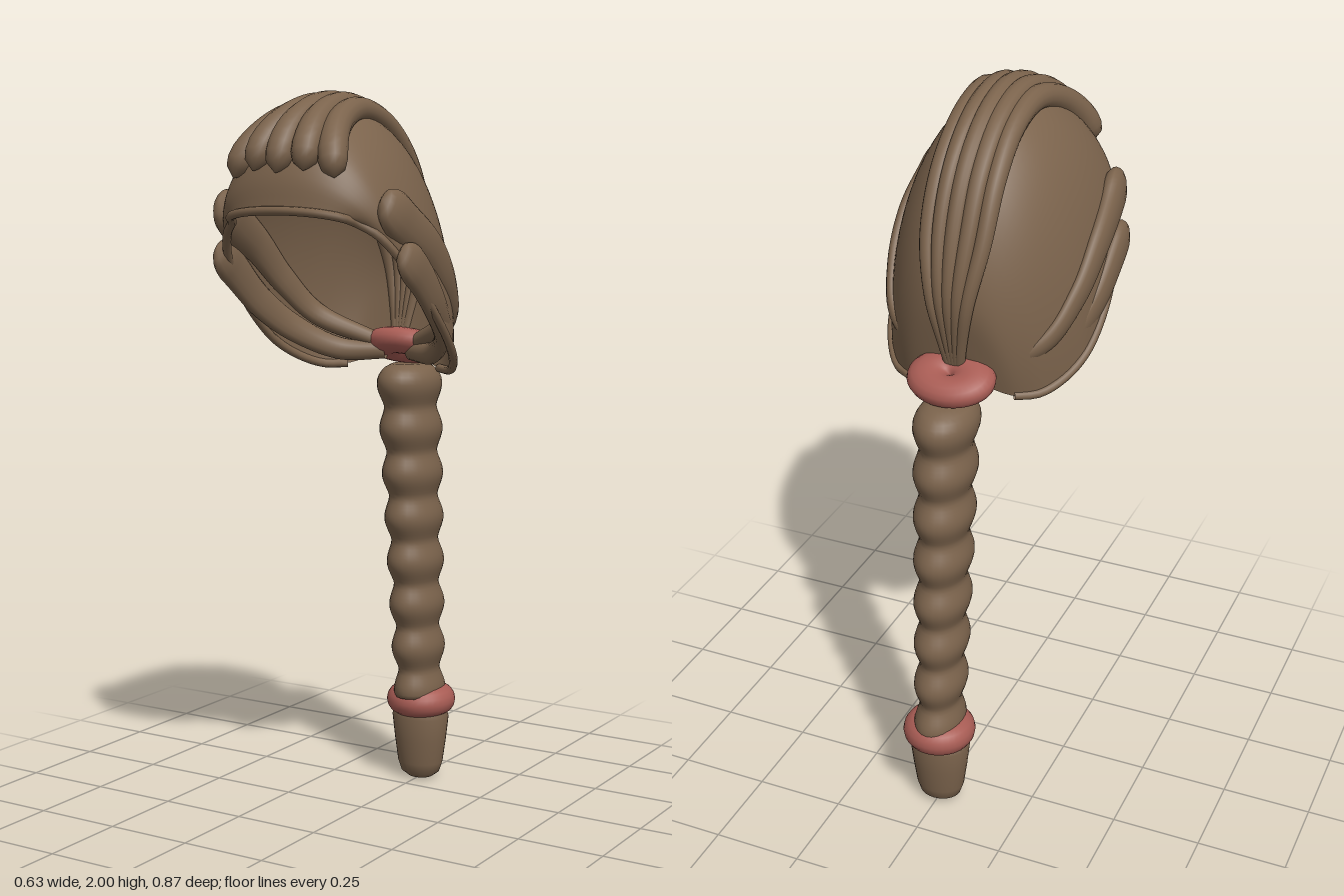
import * as THREE from 'three';
import { mergeVertices } from 'three/addons/utils/BufferGeometryUtils.js';

const V = (x, y, z) => new THREE.Vector3(x, y, z);

// Cap cross-sections from front rim to gathered back:
// half width, top y, top z, bottom y, bottom z
const SECTIONS = [
  [0.19, 1.69, 0.42, 1.66, 0.335],
  [0.232, 1.78, 0.405, 1.63, 0.30],
  [0.268, 1.87, 0.355, 1.57, 0.25],
  [0.29, 1.93, 0.27, 1.48, 0.17],
  [0.295, 1.96, 0.14, 1.39, 0.08],
  [0.282, 1.93, 0.00, 1.32, 0.00],
  [0.25, 1.84, -0.12, 1.275, -0.07],
  [0.205, 1.70, -0.20, 1.25, -0.13],
  [0.15, 1.54, -0.238, 1.25, -0.17],
  [0.09, 1.40, -0.22, 1.27, -0.19],
  [0.04, 1.31, -0.20, 1.29, -0.20],
];
const LAST = SECTIONS.length - 1;
const topCurve = new THREE.CatmullRomCurve3(SECTIONS.map((s) => V(s[0], s[1], s[2])));
const lowCurve = new THREE.CatmullRomCurve3(SECTIONS.map((s) => V(0, s[3], s[4])));

// Point on the cap: u runs front to back, a is the angle across the arch
function capPoint(u, a) {
  const t = topCurve.getPoint(u / LAST);
  const b = lowCurve.getPoint(u / LAST);
  const c = Math.cos(a);
  return V(t.x * Math.sin(a), b.y + (t.y - b.y) * c, b.z + (t.z - b.z) * c);
}

// Point raised off the cap at a given x
function raisedPoint(u, x, lift) {
  const w = topCurve.getPoint(u / LAST).x;
  const a = Math.asin(THREE.MathUtils.clamp(x / w, -1, 1));
  const e = 0.02;
  const du = capPoint(Math.min(u + e, LAST), a).sub(capPoint(u - e, a));
  const da = capPoint(u, a + e).sub(capPoint(u, a - e));
  return capPoint(u, a).addScaledVector(da.cross(du).normalize(), lift);
}

function smooth(geo) {
  geo.deleteAttribute('normal');
  geo.deleteAttribute('uv');
  const merged = mergeVertices(geo, 1e-5);
  merged.computeVertexNormals();
  return merged;
}

function capGeometry() {
  const nu = 48, na = 40, pos = [], idx = [];
  for (let i = 0; i <= nu; i++) {
    for (let j = 0; j <= na; j++) {
      pos.push(...capPoint((i / nu) * LAST, (j / na - 0.5) * Math.PI).toArray());
      if (i < nu && j < na) {
        const p = i * (na + 1) + j, q = p + na + 1;
        idx.push(p, p + 1, q, p + 1, q + 1, q);
      }
    }
  }
  const geo = new THREE.BufferGeometry();
  geo.setAttribute('position', new THREE.Float32BufferAttribute(pos, 3));
  geo.setIndex(idx);
  geo.computeVertexNormals();
  return geo;
}

// Lock of hair: a tube with its own radius along the way, flattened in x
function strandGeometry(points, radius, flatX = 1) {
  const n = 48, sides = 14;
  const curve = new THREE.CatmullRomCurve3(points);
  const geo = new THREE.TubeGeometry(curve, n, 1, sides, false);
  const p = geo.attributes.position, v = V(0, 0, 0);
  for (let i = 0; i <= n; i++) {
    const c = curve.getPointAt(i / n), r = radius(i / n);
    for (let j = 0; j <= sides; j++) {
      const k = i * (sides + 1) + j;
      v.fromBufferAttribute(p, k).sub(c).multiplyScalar(r);
      p.setXYZ(k, c.x + v.x * flatX, c.y + v.y, c.z + v.z);
    }
  }
  return smooth(geo);
}

// Round at the start, tapering to the end
const taper = (r0, r1, tip) => (t) => {
  const k = Math.min(1, t / tip);
  return (r0 + (r1 - r0) * t) * Math.sqrt(1 - (1 - k) * (1 - k));
};

export function createModel() {
  const model = new THREE.Group();
  const hair = new THREE.MeshStandardMaterial({ color: 0x7b634c, side: THREE.DoubleSide });
  hair.name = 'brown hair';
  const band = new THREE.MeshStandardMaterial({ color: 0xa85c54 });
  band.name = 'red band';
  const add = (name, geo, mat) => {
    const mesh = new THREE.Mesh(geo, mat);
    mesh.name = name;
    model.add(mesh);
    return mesh;
  };

  // Open cap and its rolled edge
  add('hairCap', capGeometry(), hair);
  const rim = [];
  for (let u = 8; u > 0; u--) rim.push(capPoint(u, -Math.PI / 2));
  for (let j = 0; j <= 8; j++) rim.push(capPoint(0, (j / 8 - 0.5) * Math.PI));
  for (let u = 1; u <= 8; u++) rim.push(capPoint(u, Math.PI / 2));
  add('capRim', smooth(new THREE.TubeGeometry(new THREE.CatmullRomCurve3(rim), 90, 0.012, 8)), hair);

  // Five locks over the crown, fanning out at the fringe
  const spread = [0.075, 0.063, 0.047, 0.036, 0.035, 0.037, 0.036, 0.024, 0.012, 0.006];
  for (let k = -2; k <= 2; k++) {
    const pts = spread.map((s, i) => raisedPoint(
      i === 0 ? 1 + 0.15 * Math.abs(k) : Math.min(i + 1, 9.9), s * k, i < 2 ? 0.01 : 0.008));
    add('crownLock', strandGeometry(pts, taper(0.041, 0.014, 0.06)), hair);
  }

  // Two swept-back locks on each side
  for (const s of [1, -1]) {
    add('upperSideLock', strandGeometry([
      V(s * 0.25, 1.72, 0.31), V(s * 0.263, 1.66, 0.22), V(s * 0.272, 1.59, 0.10),
      V(s * 0.26, 1.49, -0.01), V(s * 0.21, 1.39, -0.11), V(s * 0.04, 1.31, -0.2),
    ], taper(0.07, 0.02, 0.12), 0.5), hair);
    add('lowerSideLock', strandGeometry([
      V(s * 0.285, 1.59, 0.275), V(s * 0.29, 1.53, 0.19), V(s * 0.28, 1.435, 0.08),
      V(s * 0.24, 1.355, -0.03), V(s * 0.15, 1.295, -0.13), V(s * 0.04, 1.29, -0.2),
    ], taper(0.06, 0.025, 0.12), 0.45), hair);
  }

  // Band at the nape
  const upper = add('upperBand', new THREE.TorusGeometry(0.043, 0.043, 16, 36).rotateX(Math.PI / 2).scale(1.42, 0.86, 1.08), band);
  upper.position.set(0, 1.303, -0.235);
  upper.rotation.x = -0.4;

  // Braid: bulging segments on a leaning axis
  const pitch = 0.131, y0 = 0.26, y1 = 1.25, profile = [new THREE.Vector2(0, y0)];
  for (let i = 0; i <= 90; i++) {
    const y = y0 + (i / 90) * (y1 - y0);
    const f = (y - y0) / (y1 - y0);
    const bump = Math.abs(Math.cos((Math.PI * (y - 1.19)) / pitch)) ** 1.5;
    const end = Math.min(1, (y1 - y) / 0.045);
    profile.push(new THREE.Vector2((0.075 + 0.024 * f + 0.022 * bump) * (0.63 + 0.37 * Math.sqrt(1 - (1 - end) ** 2)), y));
  }
  profile.push(new THREE.Vector2(0, y1));
  const braid = new THREE.LatheGeometry(profile, 28).scale(0.7, 1, 1);
  const bp = braid.attributes.position;
  for (let i = 0; i < bp.count; i++) bp.setZ(i, bp.getZ(i) - 0.352 + 0.073 * bp.getY(i));
  add('braid', smooth(braid), hair);

  // Lower band and the loose tail end
  const lower = add('lowerBand', new THREE.TorusGeometry(0.059, 0.043, 16, 36).rotateX(Math.PI / 2), band);
  lower.position.set(0, 0.24, -0.34);
  const tail = new THREE.LatheGeometry([
    [0, 0], [0.037, 0.004], [0.059, 0.02], [0.069, 0.05], [0.079, 0.12], [0.087, 0.19], [0.075, 0.23], [0, 0.25],
  ].map(([r, y]) => new THREE.Vector2(r, y)), 28).scale(1, 1, 0.84);
  add('tailEnd', smooth(tail), hair).position.z = -0.337;

  return model;
}
